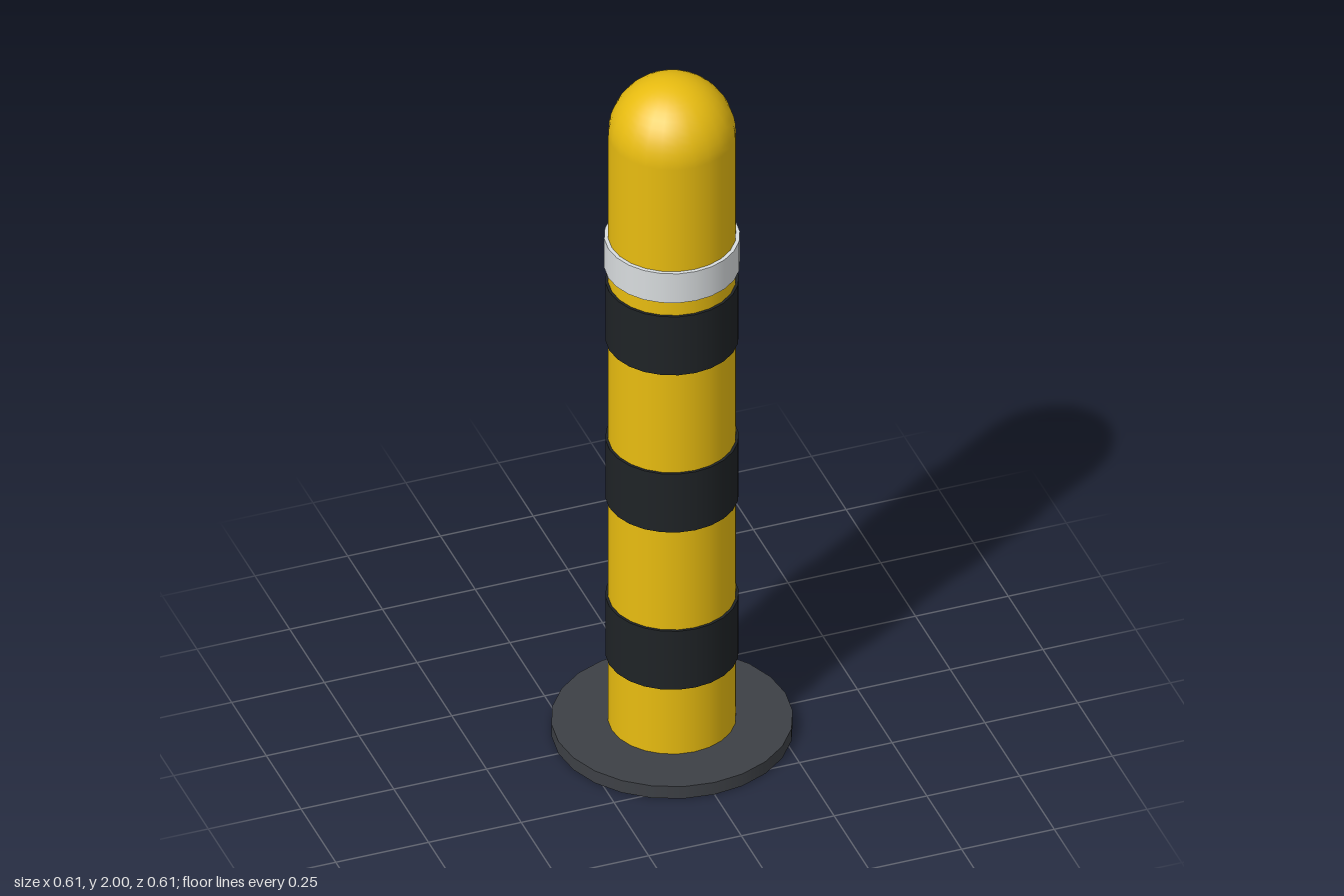
import * as THREE from 'three';

const SIDES = 24;
const RADIUS = 0.162;

export function createModel() {
  const group = new THREE.Group();
  const yellow = new THREE.MeshStandardMaterial({ color: 0xe8bc10 });
  const black = new THREE.MeshStandardMaterial({ color: 0x1f2326 });
  const white = new THREE.MeshStandardMaterial({ color: 0xd8dcde });
  const rubber = new THREE.MeshStandardMaterial({ color: 0x3d4045 });

  // Upright cylinder spanning bottom..top
  const addCylinder = (name, radius, bottom, top, material) => {
    const geometry = new THREE.CylinderGeometry(radius, radius, top - bottom, SIDES);
    const mesh = new THREE.Mesh(geometry, material);
    mesh.name = name;
    mesh.position.y = (bottom + top) / 2;
    group.add(mesh);
  };

  // Floor plate and post
  addCylinder('basePlate', 0.306, 0, 0.037, rubber);
  addCylinder('post', RADIUS, 0.037, 2 - RADIUS, yellow);

  // Hemispherical cap
  const dome = new THREE.Mesh(
    new THREE.SphereGeometry(RADIUS, SIDES, 12, 0, Math.PI * 2, 0, Math.PI / 2),
    yellow
  );
  dome.name = 'domeCap';
  dome.position.y = 2 - RADIUS;
  group.add(dome);

  // Three evenly spaced dark bands
  for (let i = 0; i < 3; i++) {
    const bottom = 0.24 + i * 0.485;
    addCylinder(`darkBand${i + 1}`, 0.169, bottom, bottom + 0.18, black);
  }

  // Reflective collar
  addCylinder('reflectiveBand', 0.172, 1.435, 1.525, white);

  return group;
}
